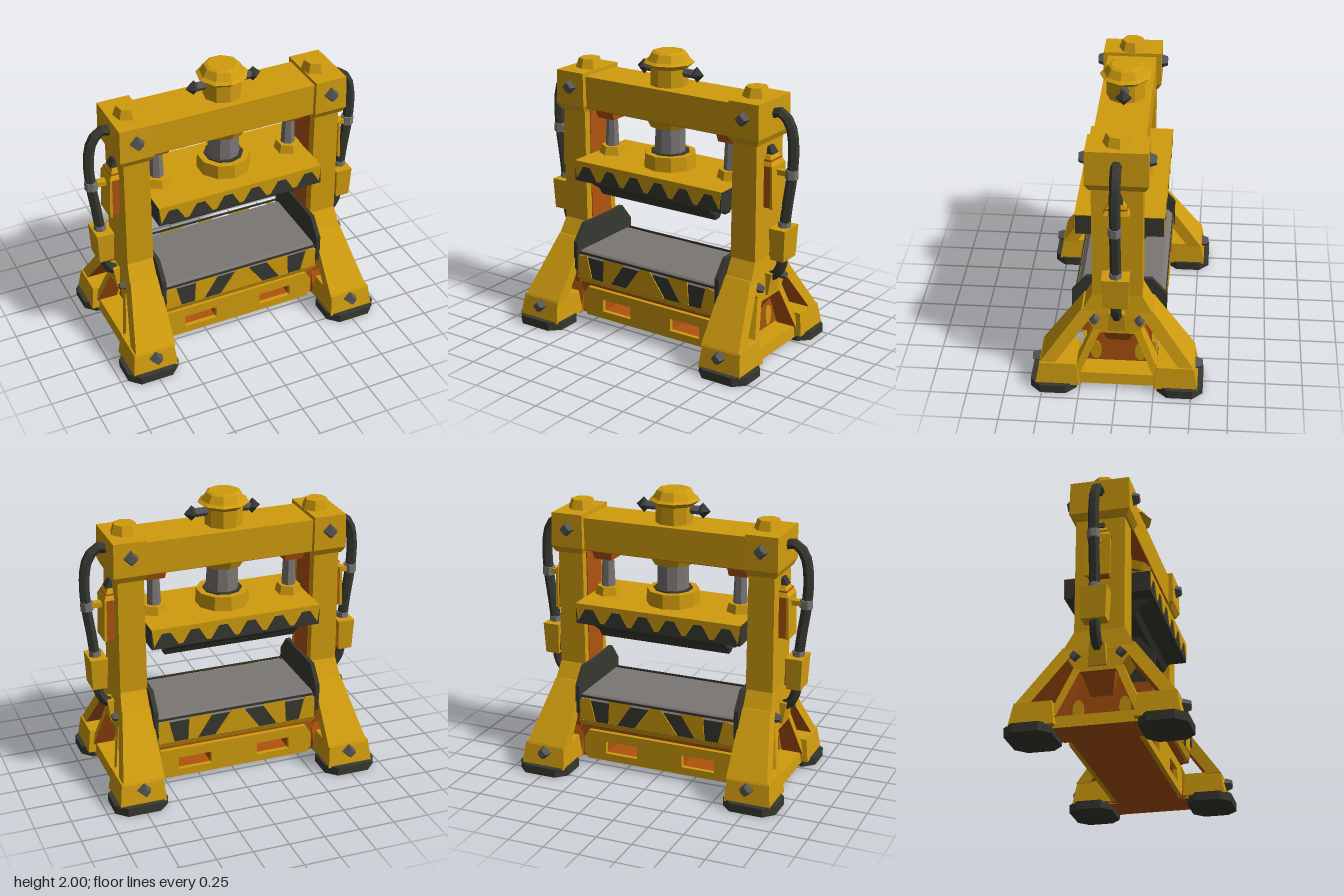
import * as THREE from 'three';

const mat = (name, color) => Object.assign(new THREE.MeshStandardMaterial({ color }), { name });

export function createModel() {
  const root = new THREE.Group();
  root.name = 'hydraulicPress';
  const yellow = mat('yellow paint', 0xd09c0e);
  const orange = mat('burnt orange paint', 0xb0540f);
  const dark = mat('dark rubber', 0x383831);
  const gray = mat('grey steel', 0x7a7674);
  const steel = mat('dark steel', 0x565656);
  // Yellow block with one orange face (face order: +x -x +y -y +z -z)
  const orangeFace = (n) => Array.from({ length: 6 }, (_, i) => (i === n ? orange : yellow));

  // Faceted mesh
  function add(name, geo, material, x = 0, y = 0, z = 0) {
    const g = geo.index ? geo.toNonIndexed() : geo;
    g.computeVertexNormals();
    const m = new THREE.Mesh(g, material);
    m.name = name;
    m.position.set(x, y, z);
    root.add(m);
    return m;
  }
  // Block between two rectangles [x0, x1, z0, z1] at heights y0 and y1
  function block(name, material, y0, a, y1, b = a, sx = 1, sz = 1) {
    const g = new THREE.BoxGeometry(1, 1, 1);
    const p = g.attributes.position;
    const pick = (u, v, s, hi) => (hi ? Math.max(u * s, v * s) : Math.min(u * s, v * s));
    for (let i = 0; i < p.count; i++) {
      const top = p.getY(i) > 0, r = top ? b : a;
      p.setXYZ(i, pick(r[0], r[1], sx, p.getX(i) > 0), top ? y1 : y0, pick(r[2], r[3], sz, p.getZ(i) > 0));
    }
    return add(name, g, material);
  }
  const shape = (pts) => new THREE.Shape(pts.map(([x, y]) => new THREE.Vector2(x, y)));
  const extrude = (s, depth) => new THREE.ExtrudeGeometry(s, { depth, bevelEnabled: false });
  const cyl = (rTop, rBottom, h, n) => new THREE.CylinderGeometry(rTop, rBottom, h, n);
  // Chamfered rectangle outline centred on the origin
  const octagon = (w, h, c) => [[-w + c, -h], [w - c, -h], [w, -h + c], [w, h - c], [w - c, h], [-w + c, h], [-w, h - c], [-w, -h + c]];
  // Extruded side profile given as [z, y], centred at x
  const sideProfile = (name, material, pts, width, x) =>
    add(name, extrude(shape(pts), width).translate(0, 0, -width / 2).rotateY(-Math.PI / 2), material, x);
  const bolt = (name, x, y, z, axis, r = 0.045) => {
    const g = cyl(r * 0.65, r, 0.05, 4);
    if (axis === 'z') g.rotateX(z > 0 ? Math.PI / 2 : -Math.PI / 2);
    else g.rotateZ(x > 0 ? -Math.PI / 2 : Math.PI / 2);
    add(name, g, steel, x, y, z);
  };

  // Base with fork pockets running through
  const pockets = (s) => {
    for (const k of [-1, 1]) {
      s.holes.push(new THREE.Path([[0.17, 0.09], [0.41, 0.09], [0.41, 0.18], [0.17, 0.18]].map(([x, y]) => new THREE.Vector2(k * x, y))));
    }
    return s;
  };
  const core = shape([[-0.62, 0.035], [0.62, 0.035], [0.62, 0.31], [-0.62, 0.31]]);
  add('baseCore', extrude(pockets(core), 0.44), orange, 0, 0, -0.22);
  const panel = [[-0.55, 0.035], [0.55, 0.035], [0.58, 0.08], [0.58, 0.18], [0.54, 0.25], [-0.54, 0.25], [-0.58, 0.18], [-0.58, 0.08]];
  for (const z of [-0.25, 0.22]) add('basePanel', extrude(pockets(shape(panel)), 0.03), yellow, 0, 0, z);
  block('bedSupport', orange, 0.28, [-0.61, 0.61, -0.25, 0.25], 0.305, [-0.61, 0.61, -0.27, 0.27]);
  block('bedLedge', yellow, 0.305, [-0.59, 0.59, -0.29, 0.29], 0.345, [-0.59, 0.59, -0.305, 0.305]);

  // Striped bed with a worn steel top
  block('bedBody', dark, 0.345, [-0.58, 0.58, -0.303, 0.303], 0.5);
  block('bedTop', gray, 0.5, [-0.57, 0.57, -0.303, 0.303], 0.535, [-0.57, 0.57, -0.27, 0.27]);
  const stripes = [
    [[0.29, 0.35], [0.36, 0.35], [0.35, 0.52], [0.18, 0.52]],
    [[0.46, 0.35], [0.575, 0.35], [0.575, 0.5], [0.5, 0.52]],
  ];
  const centreStripe = [[-0.16, 0.35], [0.16, 0.35], [0.04, 0.52], [-0.04, 0.52]];
  for (const z of [-0.311, 0.303]) {
    add('bedStripe', extrude(shape(centreStripe), 0.008), yellow, 0, 0, z);
    for (const k of [-1, 1]) {
      for (const s of stripes) add('bedStripe', extrude(shape(s.map(([x, y]) => [k * x, y])), 0.008), yellow, 0, 0, z);
    }
    block('bedRim', dark, 0.52, [-0.57, 0.57, z, z + 0.008], 0.535);
  }

  // Ram: dark body, yellow top and scalloped face plates
  block('ramBody', dark, 1.055, [-0.6, 0.6, -0.29, 0.29], 1.195);
  block('ramTop', yellow, 1.195, [-0.6, 0.6, -0.295, 0.295], 1.2);
  const teeth = [[0.6, 1.2], [-0.6, 1.2]];
  for (let i = 0; i < 6; i++) {
    const x = -0.5 + i * 0.2;
    teeth.push([x - 0.085, 1.075], [x - 0.03, 1.165], [x + 0.03, 1.165], [x + 0.085, 1.075]);
  }
  for (const z of [-0.295, 0.29]) add('ramFace', extrude(shape(teeth), 0.005), yellow, 0, 0, z);
  block('upperDie', dark, 0.985, [-0.47, 0.47, -0.18, 0.18], 1.055, [-0.48, 0.48, -0.28, 0.28]);
  for (const z of [-0.13, 0, 0.13]) block('dieRidge', dark, 0.94, [-0.47, 0.47, z - 0.025, z + 0.025], 0.99, [-0.48, 0.48, z - 0.05, z + 0.05]);

  // Main cylinder and its head
  add('pistonCollar', cyl(0.18, 0.185, 0.1, 10), yellow, 0, 1.25, 0);
  add('collarRing', cyl(0.135, 0.135, 0.008, 10), dark, 0, 1.304, 0);
  add('piston', cyl(0.105, 0.11, 0.24, 10), gray, 0, 1.4, 0);
  add('cylinderGland', cyl(0.17, 0.14, 0.06, 10), [yellow, orange, orange], 0, 1.515, 0);
  const head = [[0, 1.76], [0.13, 1.76], [0.13, 1.89], [0.175, 1.925], [0.15, 1.94], [0.12, 1.99], [0.1, 2], [0, 2]];
  add('cylinderHead', new THREE.LatheGeometry(head.map(([x, y]) => new THREE.Vector2(x, y)), 9), yellow, -0.01);

  // Cross beam with an orange underside
  block('crossBeam', yellow, 1.545, [-0.6, 0.6, -0.17, 0.17], 1.77);
  block('beamUnderside', orange, 1.54, [-0.59, 0.59, -0.165, 0.165], 1.545);

  for (const s of [-1, 1]) {
    // Head fittings
    add('headPipe', cyl(0.03, 0.03, 0.1, 6).rotateZ(Math.PI / 2), steel, s * 0.16, 1.865, 0);
    add('headFitting', new THREE.OctahedronGeometry(0.055), dark, s * 0.215, 1.865, 0);

    // Guide rods
    add('rodFoot', cyl(0.08, 0.095, 0.06, 6), yellow, s * 0.49, 1.23, 0);
    add('guideRod', cyl(0.04, 0.05, 0.24, 7), gray, s * 0.49, 1.37, 0);
    block('rodSocket', orange, 1.46, [0.43, 0.56, -0.07, 0.07], 1.54, [0.42, 0.58, -0.09, 0.09], s);

    // Column, cap and nut
    block('column', yellow, 0.7, [0.6, 0.79, -0.165, 0.165], 1.54, [0.605, 0.785, -0.165, 0.165], s);
    block('columnFlare', yellow, 0.57, [0.6, 0.805, -0.24, 0.24], 0.71, [0.6, 0.79, -0.165, 0.165], s);
    block('columnFoot', orangeFace(3), 0.42, [0.6, 0.815, -0.13, 0.13], 0.57, [0.6, 0.805, -0.24, 0.24], s);
    block('columnLiner', orange, 0.72, [0.595, 0.6, -0.11, 0.11], 1.53, [0.6, 0.605, -0.11, 0.11], s);
    block('columnCapSkirt', yellow, 1.515, [0.6, 0.8, -0.18, 0.18], 1.56, [0.585, 0.82, -0.205, 0.205], s);
    block('columnCap', yellow, 1.56, [0.585, 0.82, -0.205, 0.205], 1.795, [0.59, 0.815, -0.2, 0.2], s);
    add('capNut', cyl(0.075, 0.1, 0.07, 7), yellow, s * 0.68, 1.825, 0);

    // Dark end stop of the bed on an orange bracket
    const stop = [[-0.32, 0.4], [0.32, 0.4], [0.32, 0.6], [0.22, 0.72], [-0.22, 0.72], [-0.32, 0.6]];
    sideProfile('endStop', dark, stop, 0.03, s * 0.59);
    block('endBracket', orange, 0.29, [0.58, 0.62, -0.29, 0.29], 0.4, [0.58, 0.62, -0.312, 0.312], s);

    // Recessed side panel with an overhang, sill and ovals
    block('sidePanel', orange, 0.04, [0.6, 0.71, -0.27, 0.27], 0.43, [0.6, 0.71, -0.16, 0.16], s);
    block('sideOverhang', orange, 0.28, [0.65, 0.705, -0.07, 0.07], 0.425, [0.65, 0.8, -0.11, 0.11], s);
    block('sideSill', orangeFace(3), 0.035, [0.62, 0.87, -0.28, 0.28], 0.115, [0.62, 0.86, -0.28, 0.28], s);
    for (const z of [-0.15, 0.15]) {
      add('sideOval', cyl(1, 1, 0.008, 10).rotateZ(Math.PI / 2).scale(1, 0.075, 0.038), yellow, s * 0.714, 0.2, z);
      bolt('sideBolt', s * 0.825, 0.53, z, 'x', 0.04);
    }

    // Splayed legs, orange on the inside
    for (const k of [-1, 1]) {
      block('outerStrut', orangeFace(k > 0 ? 5 : 4), 0.2, [0.6, 0.89, 0.42, 0.52], 0.6, [0.6, 0.8, 0.13, 0.235], s, k);
      block('innerStrut', orangeFace(k > 0 ? 5 : 4), 0.11, [0.73, 0.88, 0.25, 0.3], 0.46, [0.72, 0.81, 0.1, 0.155], s, k);
      block('foot', yellow, 0.05, [0.595, 0.92, 0.25, 0.545], 0.21, [0.61, 0.9, 0.27, 0.515], s, k);
      const pad = extrude(shape(octagon(0.185, 0.155, 0.07)), 0.06).rotateX(-Math.PI / 2);
      add('footPad', pad, dark, s * 0.765, 0, k * 0.425);
      bolt('footBolt', s * 0.75, 0.155, k * 0.55, 'z', 0.05);
      bolt('capBolt', s * 0.7, 1.69, k * 0.22, 'z', 0.055);
    }

    // Hose bracket on the column
    block('bracketBody', orange, 1.07, [0.78, 0.845, -0.07, 0.07], 1.4, [0.78, 0.84, -0.07, 0.07], s);
    block('bracketPlate', yellow, 1.07, [0.845, 0.865, -0.085, 0.085], 1.36, [0.84, 0.855, -0.085, 0.085], s);
    block('bracketTop', yellow, 1.36, [0.78, 0.855, -0.085, 0.085], 1.43, [0.78, 0.82, -0.05, 0.05], s);
    block('bracketClip', dark, 1.43, [0.78, 0.83, -0.04, 0.04], 1.48, [0.78, 0.8, -0.03, 0.03], s);
    block('clipArm', yellow, 1.295, [0.85, 0.94, -0.025, 0.025], 1.33, [0.85, 0.94, -0.025, 0.025], s);
    add('hoseClamp', cyl(0.045, 0.045, 0.06, 7), gray, s * 0.955, 1.31, 0);

    // Hoses and valve box
    const hose = (name, pts) => {
      const curve = new THREE.CatmullRomCurve3(pts.map(([x, y]) => new THREE.Vector3(s * x, y, 0)));
      add(name, new THREE.TubeGeometry(curve, 14, 0.036, 6), dark);
    };
    hose('upperHose', [[0.8, 1.7], [0.87, 1.71], [0.935, 1.64], [0.963, 1.5], [0.957, 1.3], [0.93, 1.1], [0.91, 0.92]]);
    hose('lowerHose', [[0.905, 0.74], [0.895, 0.66], [0.855, 0.59], [0.79, 0.56]]);
    add('hoseFerrule', cyl(0.043, 0.043, 0.04, 7), gray, s * 0.912, 0.955, 0);
    block('valveBox', yellow, 0.72, [0.855, 0.955, -0.08, 0.08], 0.94, [0.845, 0.965, -0.09, 0.09], s);
    block('valveBack', orange, 0.74, [0.835, 0.86, -0.06, 0.06], 0.86, [0.84, 0.86, -0.06, 0.06], s);
    block('hosePort', yellow, 0.45, [0.79, 0.83, -0.06, 0.06], 0.6, [0.78, 0.85, -0.05, 0.05], s);
  }
  return root;
}
